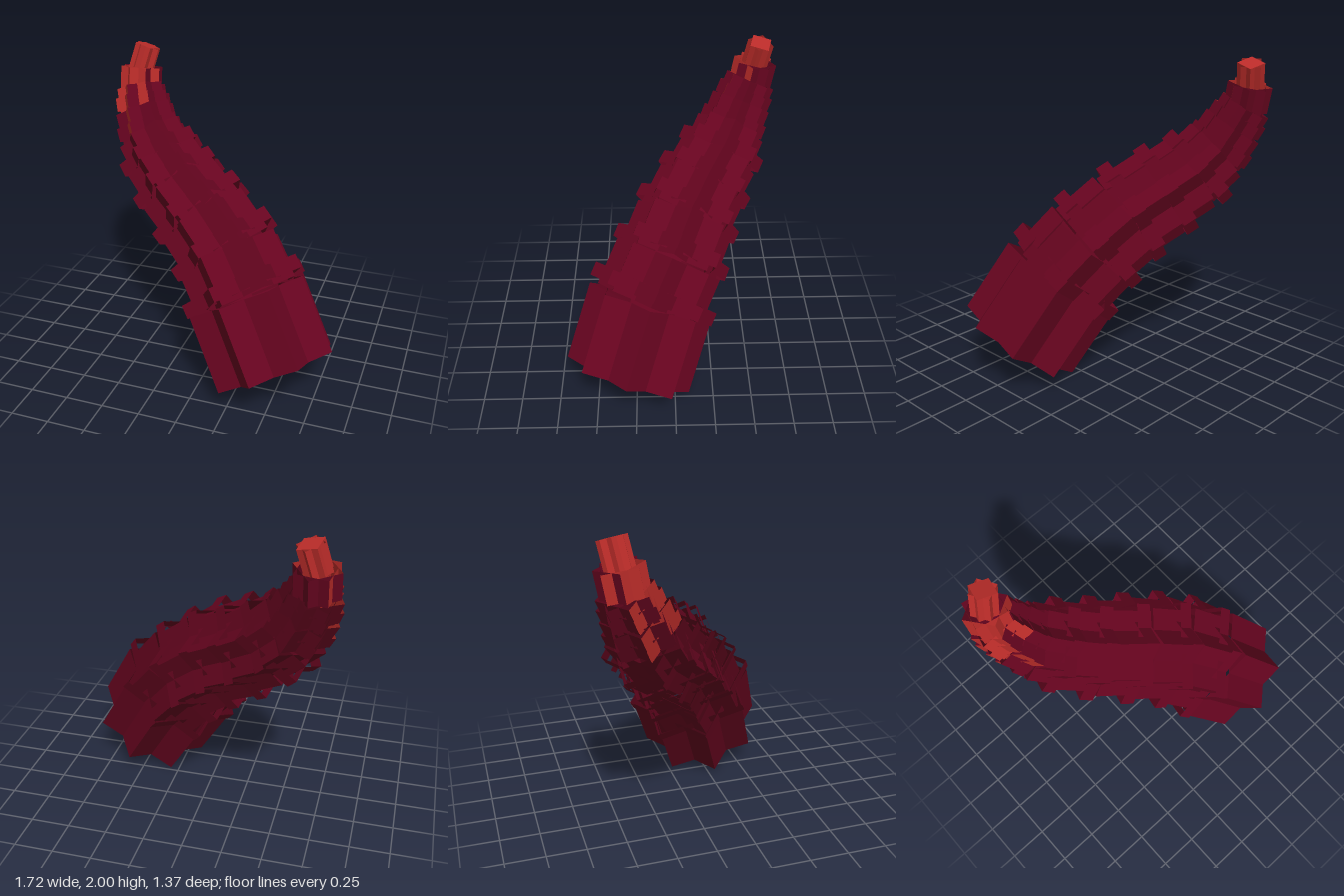
import * as THREE from 'three';

// Spine joints: x, y, z, core corner radius of the span that starts here,
// core red threshold, ring corner radius at the joint (0 = none), ring red
// threshold. A wall is red where it faces redSide beyond the threshold.
const JOINTS = [
  [0.51, 0.225, 0.30, 0.405, 2, 0, 2],
  [0.27, 0.635, 0.15, 0.355, 2, 0.42, 2],
  [0.105, 0.845, 0.03, 0.325, 2, 0.385, 2],
  [-0.09, 1.015, -0.075, 0.3, 2, 0.355, 2],
  [-0.29, 1.145, -0.19, 0.27, 2, 0.325, 2],
  [-0.465, 1.275, -0.31, 0.235, 2, 0.29, 2],
  [-0.59, 1.41, -0.395, 0.2, 0.9, 0.22, 0.88],
  [-0.665, 1.565, -0.465, 0.165, 0.75, 0.185, 0.75],
  [-0.71, 1.7, -0.525, 0.14, 0.15, 0, 2],
  [-0.71, 1.835, -0.55, 0.085, -2, 0, 2],
  [-0.67, 1.975, -0.575]
];

// Square tube without end caps, its axis along z
function openTube(radius, length) {
  const side = radius * Math.SQRT2;
  const g = new THREE.BoxGeometry(side, side, length);
  const groups = g.groups.slice(0, 4);
  g.setIndex(Array.from(g.index.array).slice(0, 24));
  g.groups = groups;
  return g;
}

export function createModel() {
  const group = new THREE.Group();
  const maroon = new THREE.MeshStandardMaterial({ color: 0x66041f, side: THREE.DoubleSide });
  const red = new THREE.MeshStandardMaterial({ color: 0xbb2c29, side: THREE.DoubleSide });
  maroon.name = 'maroon';
  red.name = 'red';

  const redSide = new THREE.Vector3(-0.6, 0, 0.8);
  const zAxis = new THREE.Vector3(0, 0, 1);
  const normals = [[1, 0, 0], [-1, 0, 0], [0, 1, 0], [0, -1, 0]]
    .map(n => new THREE.Vector3(...n));

  // Two square tubes turned by 45 degrees make an eight-pointed star
  function addStar(name, radius, length, center, frame, threshold) {
    const star = new THREE.Group();
    star.name = name;
    const geometry = openTube(radius, length);
    for (const angle of [Math.PI / 4, 0]) {
      const turn = new THREE.Quaternion().setFromAxisAngle(zAxis, angle);
      const q = frame.clone().multiply(turn);
      const paint = normals.map(n =>
        n.clone().applyQuaternion(q).dot(redSide) > threshold ? red : maroon);
      const tube = new THREE.Mesh(geometry, paint);
      tube.name = name + 'Tube';
      tube.quaternion.copy(q);
      tube.position.copy(center);
      star.add(tube);
    }
    group.add(star);
  }

  // Starting frame: z along the spine, x towards a star point
  const points = JOINTS.map(j => new THREE.Vector3(j[0], j[1], j[2]));
  let axis = points[1].clone().sub(points[0]).normalize();
  const x = new THREE.Vector3(0.86, 0.51, 0);
  x.addScaledVector(axis, -x.dot(axis)).normalize();
  const y = axis.clone().cross(x);
  const frame = new THREE.Quaternion().setFromRotationMatrix(
    new THREE.Matrix4().makeBasis(x, y, axis));

  for (let i = 0; i < JOINTS.length - 1; i++) {
    const [, , , core, coreRed, ring, ringRed] = JOINTS[i];
    const span = points[i + 1].clone().sub(points[i]);
    const length = span.length();
    const dir = span.normalize();
    // Carry the frame round each bend without twisting
    frame.premultiply(new THREE.Quaternion().setFromUnitVectors(axis, dir));
    axis = dir;

    // Core segment, sunk a little into the one before
    const sink = i === 0 ? 0 : 0.03;
    const mid = points[i].clone().addScaledVector(dir, (length - sink) / 2);
    const name = i === 0 ? 'base' : i === JOINTS.length - 2 ? 'tip' : 'segment';
    addStar(name, core, length + sink, mid, frame, coreRed);

    // Raised hollow ring at the joint
    if (ring) {
      const at = points[i].clone().addScaledVector(dir, 0.045);
      addStar('ring', ring, 0.09, at, frame, ringRed);
    }
  }

  // Square plate closing the tip
  const cap = new THREE.Mesh(new THREE.PlaneGeometry(0.12, 0.12), red);
  cap.name = 'tipCap';
  cap.quaternion.copy(frame);
  cap.position.copy(points[points.length - 1]);
  group.add(cap);
  return group;
}
